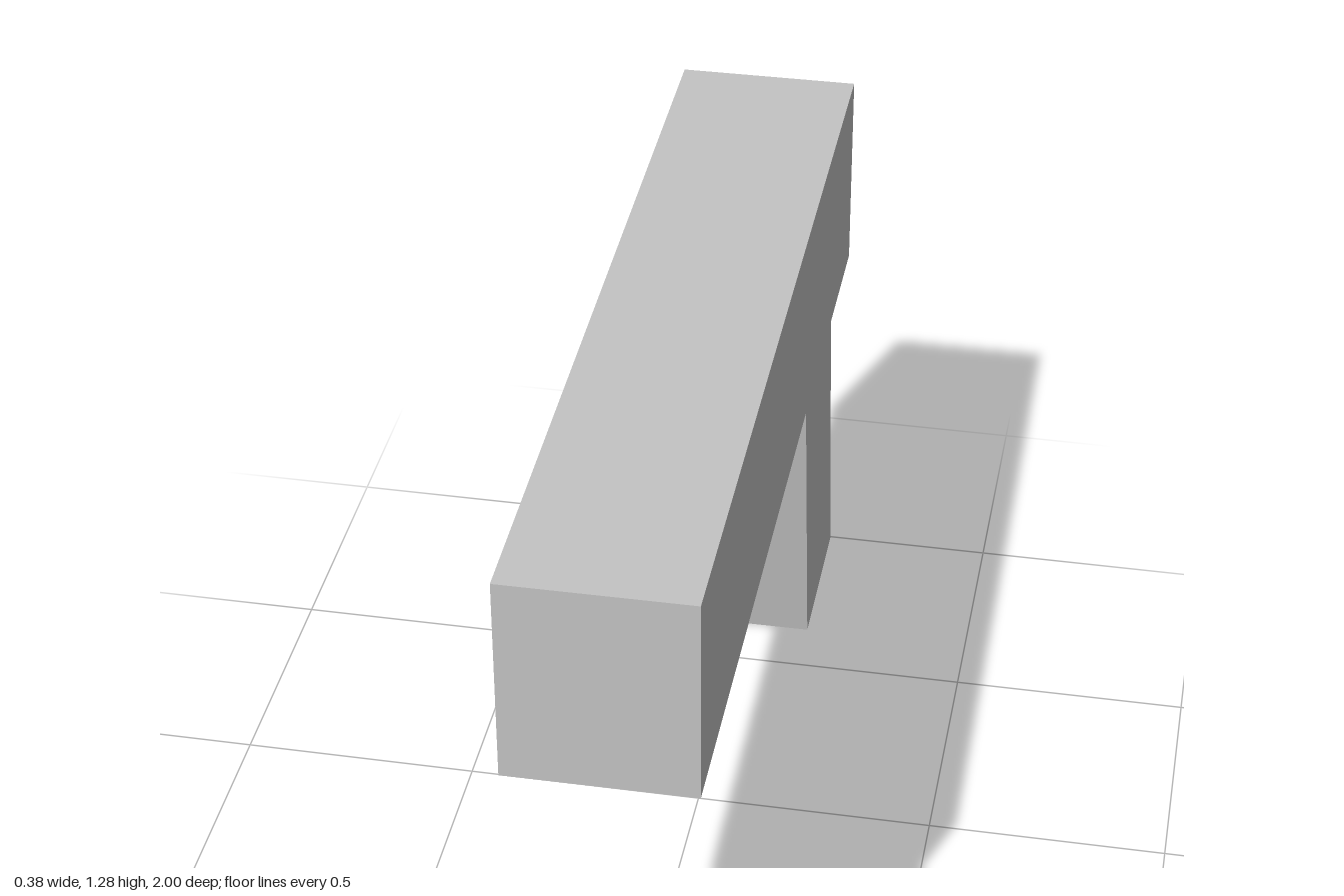
import * as THREE from 'three';

const grey = new THREE.MeshStandardMaterial({ color: 0xc4c4c4 });
grey.name = 'plain grey';

// Side profile of [z, y] points, extruded across x and centred on x = 0
function prism(name, width, profile) {
  const shape = new THREE.Shape(profile.map(([z, y]) => new THREE.Vector2(z, y)));
  const geometry = new THREE.ExtrudeGeometry(shape, { depth: width, bevelEnabled: false });
  geometry.translate(0, 0, -width / 2).rotateY(-Math.PI / 2);
  const mesh = new THREE.Mesh(geometry, grey);
  mesh.name = name;
  return mesh;
}

export function createModel() {
  const model = new THREE.Group();
  model.name = 'model';

  // Long square body
  model.add(prism('body', 0.366, [[1, 0.86], [1, 1.285], [-0.87, 1.285], [-0.87, 0.86]]));

  // Shallow collar narrowing from the body to the grip
  const collarGeometry = new THREE.BoxGeometry(0.366, 0.007, 0.37);
  const position = collarGeometry.attributes.position;
  for (let i = 0; i < position.count; i++) {
    if (position.getY(i) < 0) position.setX(i, Math.sign(position.getX(i)) * 0.143);
  }
  collarGeometry.computeVertexNormals();
  const collar = new THREE.Mesh(collarGeometry, grey);
  collar.name = 'gripCollar';
  collar.position.set(0, 0.8565, -0.685);
  model.add(collar);

  // Slanted grip
  model.add(prism('grip', 0.286, [[-0.5, 0.853], [-0.87, 0.853], [-1, 0], [-0.63, 0]]));

  // Small slanted trigger
  model.add(prism('trigger', 0.047, [[-0.235, 0.86], [-0.325, 0.86], [-0.375, 0.647], [-0.28, 0.667]]));

  // The whole piece sits very slightly turned
  model.rotation.y = 0.0056;
  model.position.x = -0.0015;
  return model;
}
